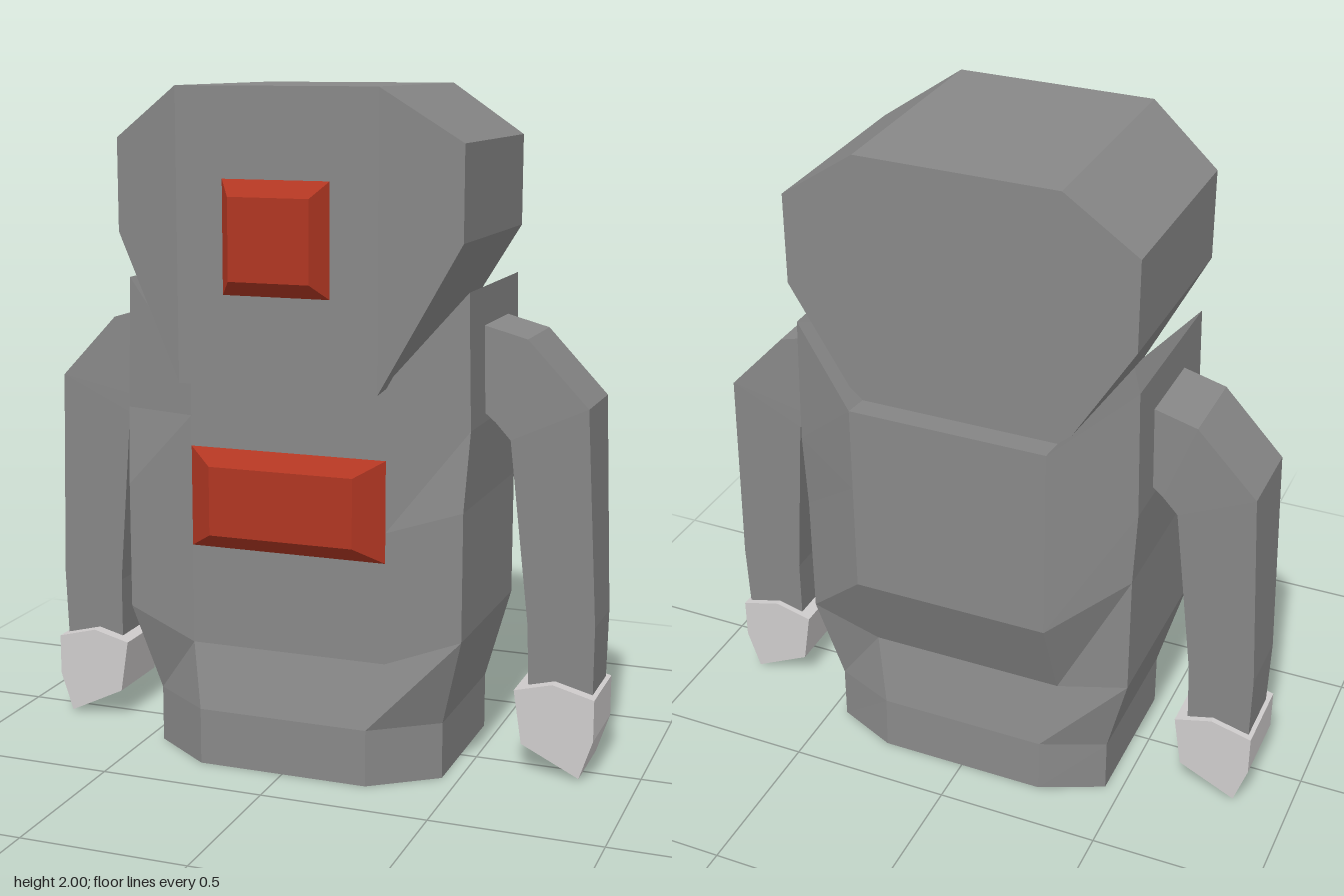
import * as THREE from 'three';

const mat = (name, color) => Object.assign(new THREE.MeshStandardMaterial({ color }), { name });

// Triangles closing a ring; eight-sided rings fold along their two inner strips
const capTris = (n) => {
  const quads = n === 8 ? [[0, 1, 2, 3], [0, 3, 4, 7], [7, 4, 5, 6]]
    : n === 6 ? [[0, 1, 2, 3], [0, 3, 4, 5]] : [[0, 1, 2, 3]];
  return quads.flatMap(([a, b, c, d]) => [[a, b, c], [a, c, d]]);
};

// Faceted skin through rings ordered counter-clockwise as seen from the end
function loft(rings, { start = true, end = true } = {}) {
  const pos = [];
  const tri = (a, b, c) => pos.push(...a, ...b, ...c);
  const n = rings[0].length;
  for (let r = 0; r + 1 < rings.length; r++) {
    for (let i = 0; i < n; i++) {
      const j = (i + 1) % n, lo = rings[r], hi = rings[r + 1];
      tri(lo[i], lo[j], hi[j]);
      tri(lo[i], hi[j], hi[i]);
    }
  }
  for (const [a, b, c] of capTris(n)) {
    if (start) tri(rings[0][a], rings[0][c], rings[0][b]);
    const last = rings[rings.length - 1];
    if (end) tri(last[a], last[b], last[c]);
  }
  const geo = new THREE.BufferGeometry();
  geo.setAttribute('position', new THREE.Float32BufferAttribute(pos, 3));
  geo.computeVertexNormals();
  return geo;
}

const flip = (ring) => ring.map(([x, y, z]) => [-x, y, z]).reverse();
const symmetric = (half) => [...half, ...flip(half)];

export function createModel() {
  const grey = mat('bodyGrey', 0x888888);
  const red = mat('panelRed', 0xb03622);
  const pale = mat('handPale', 0xcfcccc);
  const copper = mat('baseCopper', 0xb86030);

  const model = new THREE.Group();
  const add = (name, geo, material) => {
    const mesh = new THREE.Mesh(geo, material);
    mesh.name = name;
    model.add(mesh);
  };

  // Body: each half ring runs front, side front, side back, back
  const base = [[0.26, 0, 0.335], [0.45, 0, 0.195], [0.45, 0, -0.265], [0.26, 0, -0.35]];
  const inset = (k, y) => symmetric(base.map(([x, , z]) => [x * k, y, z * k]));
  const recess = inset(0.8, 0.07);
  const bodyRings = [
    base,
    [[0.26, 0.17, 0.335], [0.45, 0.17, 0.195], [0.45, 0.17, -0.265], [0.26, 0.17, -0.345]],
    [[0.3, 0.36, 0.285], [0.52, 0.44, 0.255], [0.52, 0.44, -0.3], [0.3, 0.38, -0.305]],
    [[0.3, 0.75, 0.285], [0.52, 0.82, 0.255], [0.52, 0.82, -0.3], [0.3, 0.66, -0.42]],
    [[0.3, 1.05, 0.285], [0.53, 1.05, 0.225], [0.53, 1.05, -0.3], [0.3, 1.0, -0.42]],
    [[0.3, 1.18, 0.285], [0.52, 1.44, 0.225], [0.52, 1.44, -0.3], [0.3, 1.26, -0.42]],
  ].map(symmetric);
  add('body', loft([recess, inset(0.87, 0), ...bodyRings], { start: false }), grey);

  // Recessed floor under the body
  add('baseRecess', loft([recess], { end: false }), copper);

  // Head: bent front face, flat back
  const headRing = (zMid, zSide, low) => symmetric([
    [0.3, low, zMid], [0.52, 1.58, zSide], [0.52, 1.85, zSide], [0.3, 2, zMid]]);
  add('head', loft([headRing(-0.335, -0.335, 1.22), headRing(0.365, 0.29, 1.16)]), grey);

  // Bevelled panels
  const rect = (w, y0, y1, z) => [[-w, y0, z], [w, y0, z], [w, y1, z], [-w, y1, z]];
  add('eye', loft([rect(0.16, 1.42, 1.745, 0.355), rect(0.16, 1.42, 1.745, 0.365),
    rect(0.12, 1.465, 1.7, 0.422)]), red);
  add('chestPanel', loft([rect(0.3, 0.66, 0.96, 0.275), rect(0.3, 0.66, 0.96, 0.285),
    rect(0.22, 0.71, 0.915, 0.345)]), red);

  // Arms: inner x, y, outer x, y, front z, back z from shoulder to wrist
  const armRings = [
    [0.5, 1.1, 0.5, 1.335, 0.075, -0.18],
    [0.56, 1.05, 0.65, 1.295, 0.075, -0.18],
    [0.605, 1.0, 0.83, 1.105, 0.073, -0.178],
    [0.66, 0.45, 0.86, 0.46, 0.047, -0.152],
    [0.665, 0.24, 0.857, 0.24, 0.037, -0.145],
  ].map(([ix, iy, ox, oy, f, b]) => [[ix, iy, f], [ix, iy, b], [ox, oy, b], [ox, oy, f]]);

  // Hands: pointed mitten outline
  const outline = [[0.655, 0.09], [0.83, 0.005], [0.87, 0.125], [0.87, 0.25], [0.745, 0.283], [0.63, 0.253]];
  const handRings = [-0.165, 0.075].map((z) => outline.map(([x, y]) => [x, y, z]));

  for (const side of ['left', 'right']) {
    const place = side === 'left' ? (r) => r : flip;
    add(side + 'Arm', loft(armRings.map(place)), grey);
    add(side + 'Hand', loft(handRings.map(place)), pale);
  }
  return model;
}
